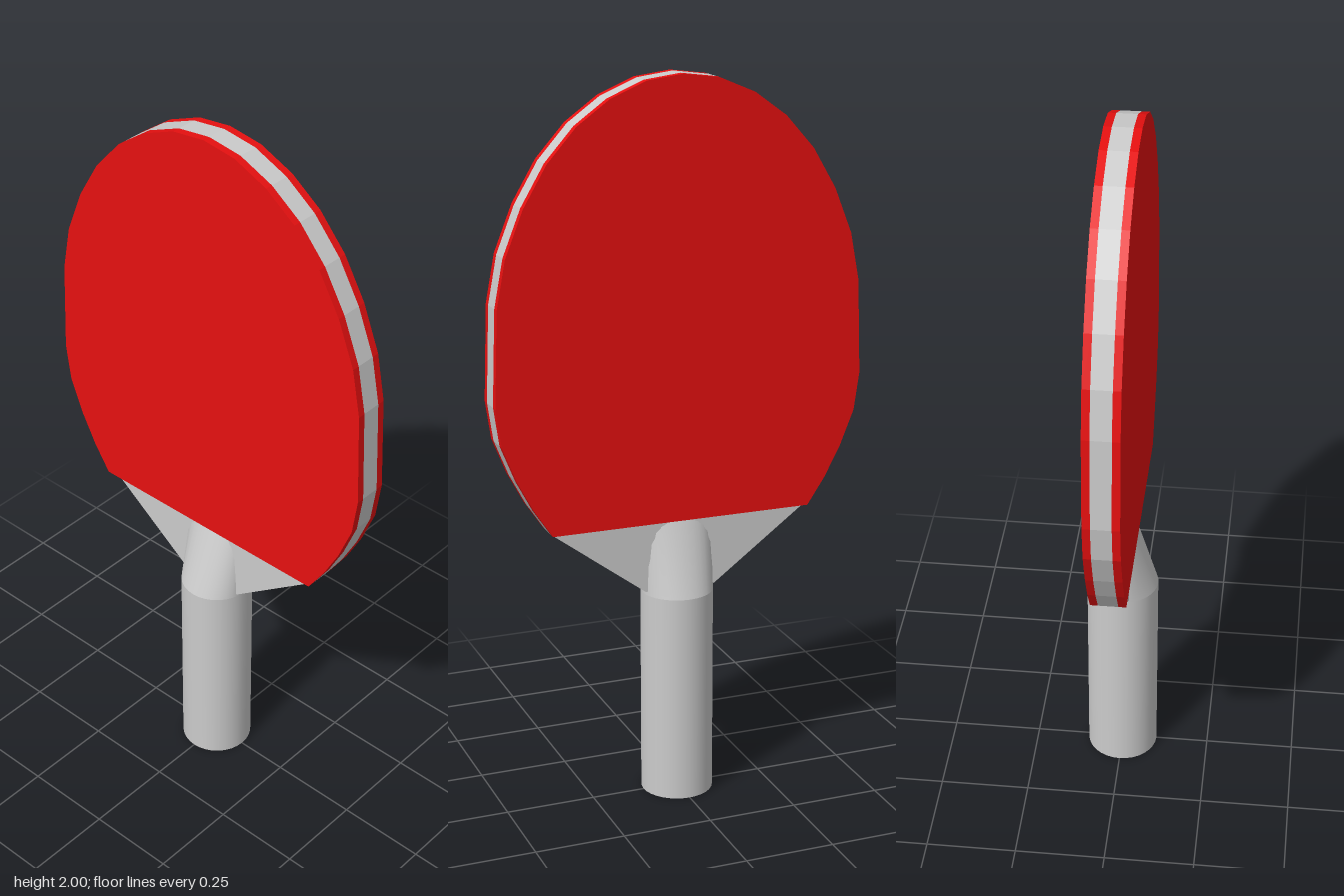
import * as THREE from 'three';

const grey = new THREE.MeshStandardMaterial({ color: 0xcccccc });
const greyFlat = new THREE.MeshStandardMaterial({ color: 0xcccccc, flatShading: true });
const red = new THREE.MeshStandardMaterial({ color: 0xe61010, flatShading: true });

// Right half of the paddle outline, from the rubber's lower corner to near the top
const HALF = [
  [0.37, 0.8], [0.42, 0.875], [0.465, 0.96], [0.505, 1.06], [0.52, 1.165],
  [0.51, 1.425], [0.485, 1.555], [0.435, 1.68], [0.37, 1.79],
  [0.29, 1.88], [0.2, 1.945], [0.1, 1.987],
];

// Mirrors a half outline about x = 0 and extrudes it between two depths
function slab(half, zMin, zMax) {
  const mirrored = half.map(([x, y]) => [-x, y]).reverse();
  const points = [...half, [0, 2], ...mirrored].map(([x, y]) => new THREE.Vector2(x, y));
  const geometry = new THREE.ExtrudeGeometry(new THREE.Shape(points), {
    depth: zMax - zMin, bevelEnabled: false,
  });
  return geometry.translate(0, 0, zMin);
}

export function createModel() {
  const model = new THREE.Group();
  model.name = 'tableTennisPaddle';
  const add = (name, geometry, material) => {
    const mesh = new THREE.Mesh(geometry, material);
    mesh.name = name;
    model.add(mesh);
  };

  const core = 0.027, face = 0.048;
  const gripTop = 0.59, neckTop = 0.8, radius = 0.1;

  // Wooden blade, narrowing down to the handle
  add('blade', slab([[0.1, 0.6], ...HALF], -core, core), greyFlat);

  // Rubber sheets on both faces
  add('frontRubber', slab(HALF, core, face), red);
  add('backRubber', slab(HALF, -face, -core), red);

  // Round grip
  const grip = new THREE.CylinderGeometry(radius, radius, gripTop, 32);
  add('grip', grip.translate(0, gripTop / 2, 0), grey);

  // Neck: a round section flattening in depth until it meets the blade
  const neckHeight = neckTop - gripTop;
  const neck = new THREE.CylinderGeometry(radius, radius, neckHeight, 32, 1);
  neck.rotateY(Math.PI / 2).translate(0, gripTop + neckHeight / 2, 0);
  const position = neck.attributes.position;
  for (let i = 0; i < position.count; i++) {
    const t = (position.getY(i) - gripTop) / neckHeight;
    position.setZ(i, position.getZ(i) * THREE.MathUtils.lerp(1, 0.26, t));
  }
  neck.computeVertexNormals();
  add('neck', neck, grey);

  return model;
}
